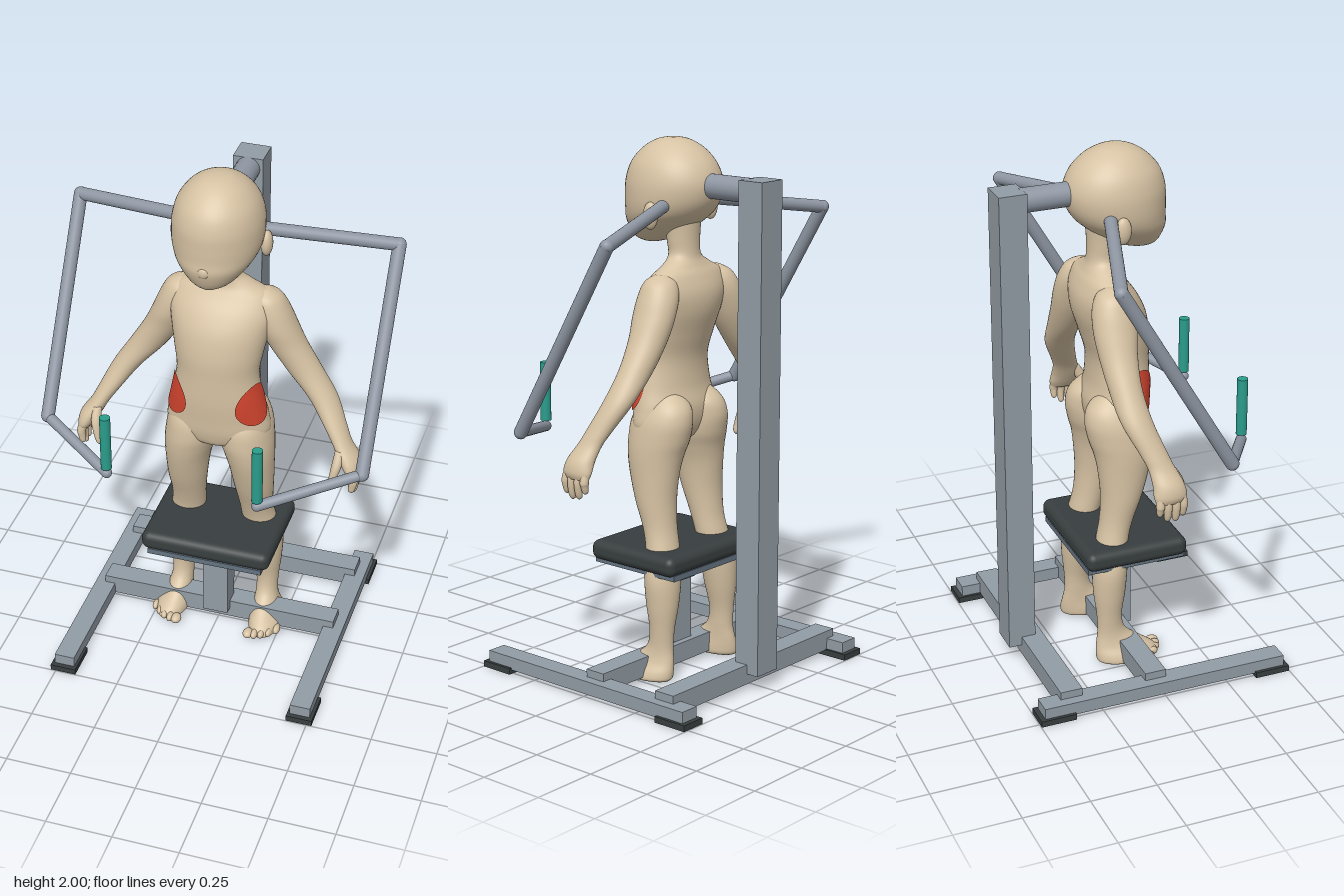
import * as THREE from 'three';
import { RoundedBoxGeometry } from 'three/addons/geometries/RoundedBoxGeometry.js';

const mat = (name, color) => {
  const m = new THREE.MeshStandardMaterial({ color });
  m.name = name;
  return m;
};

// Smooth interpolation through rows of numbers, u from 0 to 1
function sample(rows, u) {
  const f = u * (rows.length - 1);
  const i = Math.min(Math.floor(f), rows.length - 2);
  const t = f - i;
  const at = k => rows[Math.max(0, Math.min(rows.length - 1, k))];
  const [p, q, r, s] = [at(i - 1), at(i), at(i + 1), at(i + 2)];
  return q.map((b, k) => {
    const a = p[k], c = r[k], d = s[k];
    return b + 0.5 * t * (c - a + t * (2 * a - 5 * b + 4 * c - d + t * (3 * (b - c) + d - a)));
  });
}

// Point on a body surface; a row is [y, xMin, xMax, zFront, zBack]
function bodyPoint(row, angle, grow = 0) {
  const [y, x0, x1, zf, zb] = row;
  const rx = Math.max(0, (x1 - x0) / 2) + grow, rz = Math.max(0, (zf - zb) / 2) + grow;
  return [(x0 + x1) / 2 + rx * Math.sin(angle), y, (zf + zb) / 2 + rz * Math.cos(angle)];
}

function geometryFrom(positions, index) {
  const g = new THREE.BufferGeometry();
  g.setAttribute('position', new THREE.Float32BufferAttribute(positions, 3));
  g.setIndex(index);
  g.computeVertexNormals();
  return g;
}

// Loft of elliptical level sections, listed from top to bottom
function loft(rows, sides = 36, steps = 6) {
  const first = rows[0], last = rows[rows.length - 1];
  const point = r => {
    const x = (r[1] + r[2]) / 2, z = (r[3] + r[4]) / 2;
    return [r[0], x, x, z, z];
  };
  const n = (rows.length - 1) * steps;
  const rings = [point(first)];
  for (let i = 0; i <= n; i++) rings.push(sample(rows, i / n));
  rings.push(point(last));
  const pos = [], idx = [];
  rings.forEach((r, i) => {
    for (let j = 0; j < sides; j++) {
      pos.push(...bodyPoint(r, j / sides * Math.PI * 2));
      if (i === rings.length - 1) continue;
      const a = i * sides + j, b = i * sides + (j + 1) % sides;
      idx.push(a, a + sides, b, b, a + sides, b + sides);
    }
  });
  return geometryFrom(pos, idx);
}

const mirrorRows = (rows, s) => s > 0 ? rows : rows.map(([y, a, b, f, k]) => [y, -b, -a, f, k]);

const HEAD = [
  [2.0, -0.02, 0.02, 0.02, -0.02], [1.99, -0.06, 0.06, 0.065, -0.065], [1.96, -0.105, 0.105, 0.115, -0.12],
  [1.91, -0.143, 0.143, 0.16, -0.167], [1.85, -0.162, 0.162, 0.181, -0.19], [1.79, -0.165, 0.165, 0.184, -0.183],
  [1.74, -0.157, 0.157, 0.184, -0.155], [1.70, -0.137, 0.137, 0.186, -0.11], [1.66, -0.105, 0.105, 0.174, -0.05],
  [1.63, -0.07, 0.07, 0.158, 0.01], [1.613, -0.025, 0.025, 0.14, 0.07]];
const TORSO = [
  [1.72, -0.07, 0.07, 0.01, -0.11], [1.64, -0.065, 0.065, 0.01, -0.105], [1.58, -0.067, 0.067, 0, -0.107],
  [1.545, -0.115, 0.115, 0.0, -0.12], [1.51, -0.175, 0.175, 0.02, -0.14], [1.45, -0.195, 0.195, 0.065, -0.16],
  [1.38, -0.185, 0.185, 0.1, -0.157], [1.29, -0.167, 0.167, 0.117, -0.13], [1.2, -0.155, 0.155, 0.117, -0.105],
  [1.1, -0.172, 0.172, 0.115, -0.105], [1.02, -0.19, 0.19, 0.108, -0.12], [0.95, -0.195, 0.195, 0.1, -0.11],
  [0.9, -0.13, 0.13, 0.08, -0.08], [0.88, -0.05, 0.05, 0.03, -0.03]];
const ARM = [
  [1.525, 0.13, 0.17, -0.05, -0.09], [1.5, 0.1, 0.213, -0.015, -0.13], [1.45, 0.1, 0.243, 0, -0.153],
  [1.38, 0.125, 0.273, 0, -0.16], [1.3, 0.165, 0.31, -0.015, -0.155], [1.2, 0.235, 0.37, -0.025, -0.145],
  [1.1, 0.325, 0.433, -0.015, -0.13], [1.0, 0.4, 0.482, 0.015, -0.085], [0.95, 0.435, 0.507, 0.033, -0.065],
  [0.9, 0.463, 0.542, 0.055, -0.06], [0.86, 0.487, 0.552, 0.062, -0.062], [0.835, 0.505, 0.545, 0.05, -0.055]];
const LEG = [
  [1.1, 0.06, 0.11, 0, -0.06], [1.04, 0.015, 0.165, 0.05, -0.135], [0.98, 0.002, 0.195, 0.09, -0.155],
  [0.91, 0.002, 0.207, 0.1, -0.145], [0.85, 0.02, 0.211, 0.095, -0.127], [0.78, 0.04, 0.21, 0.08, -0.115],
  [0.68, 0.055, 0.207, 0.05, -0.107], [0.58, 0.068, 0.2, 0.012, -0.113], [0.5, 0.075, 0.208, -0.01, -0.13],
  [0.4, 0.085, 0.232, -0.02, -0.15], [0.3, 0.105, 0.228, -0.03, -0.152], [0.2, 0.128, 0.217, -0.045, -0.142],
  [0.13, 0.132, 0.215, -0.03, -0.14], [0.08, 0.13, 0.228, 0.03, -0.148], [0.045, 0.125, 0.25, 0.08, -0.152],
  [0.02, 0.125, 0.258, 0.095, -0.15], [0.01, 0.135, 0.25, 0.085, -0.14]];

// Oval patch that follows the torso just above the skin
function hipPatch(side) {
  const pos = [], idx = [], rings = 8, n = 36;
  for (let i = 0; i <= rings; i++) for (let j = 0; j < n; j++) {
    const a = j / n * Math.PI * 2, r = i / rings;
    const v = r * Math.sin(a);
    const y = 1.095 + 0.085 * v;
    // find the torso row at this height
    let lo = 0, hi = 1;
    for (let k = 0; k < 24; k++) {
      const m = (lo + hi) / 2;
      if (sample(TORSO, m)[0] > y) lo = m; else hi = m;
    }
    const angle = 1.12 + 0.15 * v + 0.56 * r * Math.cos(a);
    pos.push(...bodyPoint(sample(TORSO, lo), side * angle, 0.005));
    if (i < rings) {
      const p = i * n + j, q = i * n + (j + 1) % n;
      if (side > 0) idx.push(p, p + n, q, q, p + n, q + n);
      else idx.push(p, q, p + n, q, q + n, p + n);
    }
  }
  return geometryFrom(pos, idx);
}

export function createModel() {
  const group = new THREE.Group();
  const skin = mat('skin', 0xd6c2a3), steel = mat('frame steel', 0x929ca5), tube = mat('tube steel', 0x8f97a3),
    dark = mat('dark steel', 0x64727f), pad = mat('black padding', 0x383e3f),
    teal = mat('teal grip', 0x2a9d8c), red = mat('red patch', 0xd4452f);

  const add = (name, geometry, material, x = 0, y = 0, z = 0) => {
    const m = new THREE.Mesh(geometry, material);
    m.name = name;
    m.position.set(x, y, z);
    group.add(m);
    return m;
  };
  const box = (name, material, x0, x1, y0, y1, z0, z1) =>
    add(name, new THREE.BoxGeometry(x1 - x0, y1 - y0, z1 - z0), material, (x0 + x1) / 2, (y0 + y1) / 2, (z0 + z1) / 2);
  const ball = (name, material, p, sx, sy, sz) =>
    add(name, new THREE.SphereGeometry(1, 20, 14), material, ...p).scale.set(sx, sy, sz);
  const rod = (name, material, a, b, r) => {
    const p = new THREE.Vector3(...a), d = new THREE.Vector3(...b).sub(p);
    const m = add(name, new THREE.CylinderGeometry(r, r, d.length(), 24), material);
    m.position.copy(p).addScaledVector(d, 0.5);
    m.quaternion.setFromUnitVectors(new THREE.Vector3(0, 1, 0), d.normalize());
  };

  // Base frame, rear post and head support
  box('rearCrossbar', steel, -0.47, 0.47, 0.025, 0.1, -0.405, -0.32);
  box('middleCrossbar', steel, -0.47, 0.47, 0.025, 0.1, -0.07, 0.012);
  box('rearPost', steel, -0.057, 0.057, 0.065, 1.88, -0.455, -0.35);
  rod('headSupport', tube, [0, 1.837, -0.12], [0, 1.837, -0.36], 0.045);

  // Seat on its column
  box('seatColumn', steel, -0.05, 0.05, 0.065, 0.42, -0.045, 0.045);
  box('seatSleeve', dark, -0.06, 0.06, 0.34, 0.42, -0.055, 0.055);
  box('seatPlate', dark, -0.225, 0.225, 0.415, 0.437, -0.198, 0.19);
  add('seatCushion', new RoundedBoxGeometry(0.505, 0.075, 0.4, 4, 0.03), pad, 0, 0.468, -0.005);

  // Figure
  add('head', loft(HEAD, 48), skin);
  add('torso', loft(TORSO, 48), skin);
  ball('nose', skin, [0, 1.705, 0.178], 0.022, 0.022, 0.014);

  for (const s of [1, -1]) {
    box('sideRail', steel, ...(s > 0 ? [0.43, 0.508] : [-0.508, -0.43]), 0.02, 0.07, -0.48, 0.48);
    for (const z of [-0.43, 0.43])
      box('rubberFoot', pad, s * 0.47 - 0.05, s * 0.47 + 0.05, 0.005, 0.028, z - 0.068, z + 0.068);

    // Swing arm with rounded joints and an upright grip
    const shoulder = [s * 0.12, 1.773, -0.066], top = [s * 0.6, 1.7, -0.222], low = [s * 0.6, 0.985, 0.2];
    const end = s > 0 ? [0.268, 0.912, 0.398] : [-0.309, 0.912, 0.373];
    rod('upperBar', tube, shoulder, top, 0.024);
    rod('longBar', tube, top, low, 0.025);
    rod('lowerBar', tube, low, end, 0.02);
    ball('upperJoint', tube, top, 0.025, 0.025, 0.025);
    ball('lowerJoint', tube, low, 0.025, 0.025, 0.025);
    ball('gripJoint', tube, end, 0.02, 0.02, 0.02);
    rod('grip', teal, [end[0], 0.935, end[2]], [end[0], 1.157, end[2]], 0.02);

    // Limbs
    ball('ear', skin, [s * 0.166, 1.735, -0.035], 0.022, 0.05, 0.03);
    add('arm', loft(mirrorRows(ARM, s)), skin);
    add('leg', loft(mirrorRows(LEG, s)), skin);
    add('hipPatch', hipPatch(s), red);

    // Four fingers and a thumb
    [[0.045, 0.775], [0.017, 0.758], [-0.014, 0.762], [-0.043, 0.785]].forEach(([z, y]) => {
      const q = z * 0.9;
      const rows = [[0.88, 0.5, 0.535, q + 0.014, q - 0.014], [0.83, 0.514, 0.548, z + 0.016, z - 0.016],
        [y + 0.03, 0.515, 0.545, z + 0.014, z - 0.014], [y + 0.008, 0.515, 0.538, z + 0.011, z - 0.011],
        [y, 0.521, 0.531, z + 0.004, z - 0.004]];
      add('finger', loft(mirrorRows(rows, s), 14, 4), skin);
    });
    const thumb = [[0.94, 0.455, 0.49, 0.04, 0.0], [0.89, 0.45, 0.488, 0.07, 0.025], [0.84, 0.444, 0.474, 0.08, 0.046],
      [0.81, 0.44, 0.464, 0.08, 0.052], [0.797, 0.447, 0.457, 0.07, 0.06]];
    add('thumb', loft(mirrorRows(thumb, s), 14, 4), skin);

    // Toes
    for (let i = 0; i < 5; i++)
      ball('toe', skin, [s * (0.148 + i * 0.025), 0.026, 0.09 - i * i * 0.0035], i ? 0.014 : 0.02, 0.017, 0.026);
  }
  return group;
}
